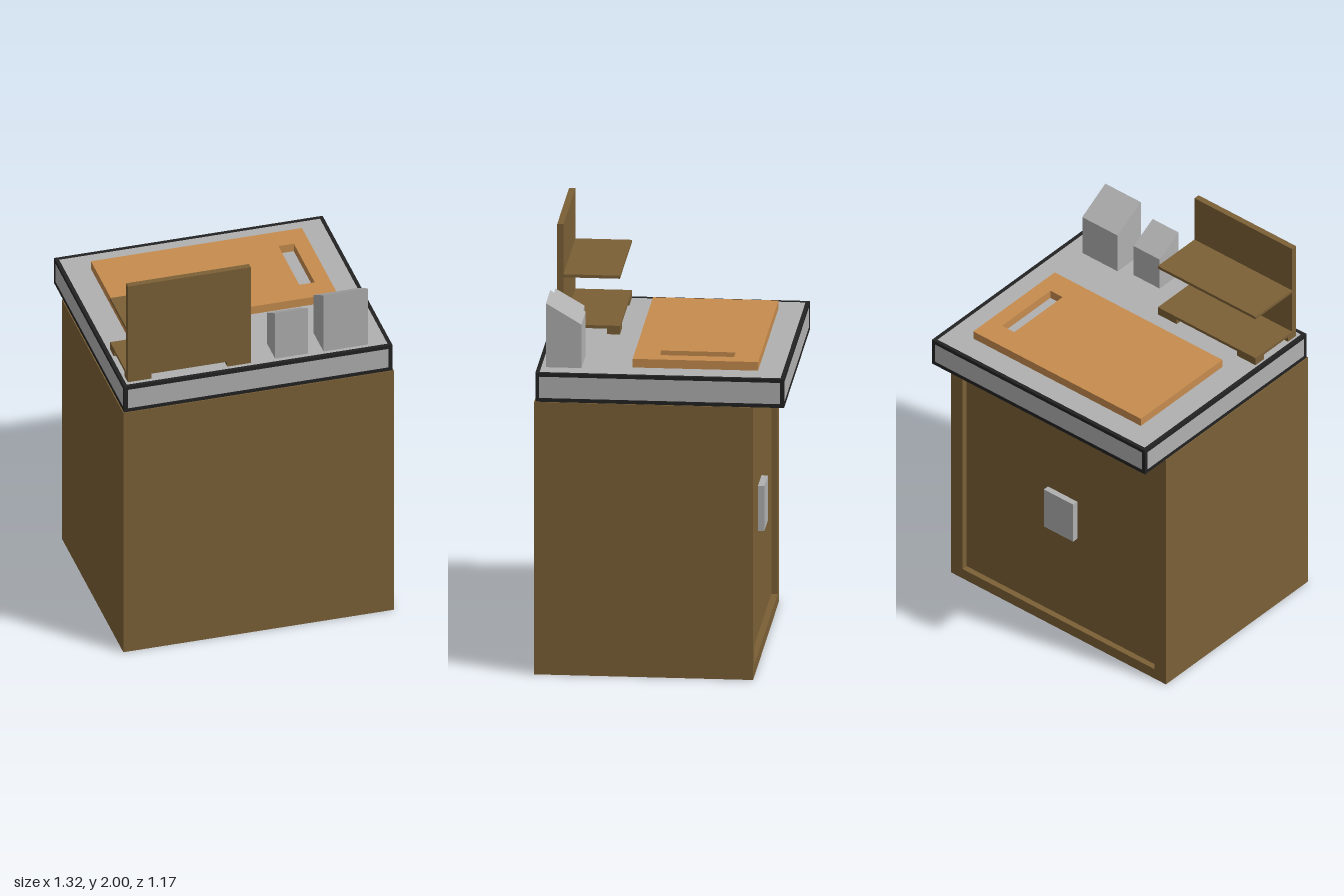
import * as THREE from 'three';

const material = (name, color) => {
  const m = new THREE.MeshStandardMaterial({ color });
  m.name = name;
  return m;
};

export function createModel() {
  const wood = material('brown wood', 0x7b6036);
  const board = material('light wood', 0xc68c4e);
  const grey = material('grey', 0xb0b0b0);
  const dark = material('dark trim', 0x222222);
  const group = new THREE.Group();
  group.name = 'kitchenCounter';

  const add = (name, geometry, mat) => {
    const mesh = new THREE.Mesh(geometry, mat);
    mesh.name = name;
    group.add(mesh);
    return mesh;
  };
  // Box given by its limits on each axis
  const box = (name, mat, [x0, x1], [y0, y1], [z0, z1]) => {
    const mesh = add(name, new THREE.BoxGeometry(x1 - x0, y1 - y0, z1 - z0), mat);
    mesh.position.set((x0 + x1) / 2, (y0 + y1) / 2, (z0 + z1) / 2);
    return mesh;
  };
  // Closed outline from corner points
  const outline = (points, Type = THREE.Shape) =>
    new Type(points.map(([x, y]) => new THREE.Vector2(x, y)));
  const rect = (x0, x1, y0, y1, Type) =>
    outline([[x0, y0], [x1, y0], [x1, y1], [x0, y1]], Type);
  const extrude = (shape, depth) =>
    new THREE.ExtrudeGeometry(shape, { depth, bevelEnabled: false });

  // Cabinet with a framed, recessed door at the back
  box('cabinetBody', wood, [-0.66, 0.66], [0, 1.33], [-0.41, 0.59]);
  const frame = rect(-0.66, 0.66, 0, 1.33);
  frame.holes.push(rect(-0.59, 0.59, 0.055, 1.275, THREE.Path));
  add('doorFrame', extrude(frame, 0.03), wood).position.z = -0.44;
  box('doorHandle', grey, [-0.09, 0.09], [0.56, 0.78], [-0.44, -0.41]);

  // Worktop
  const X = 0.655, Z = 0.585, Y0 = 1.33, Y1 = 1.47, T = 0.018, gap = 0.002;
  box('worktop', grey, [-X + gap, X - gap], [Y0 + gap, Y1 - gap], [-Z + gap, Z - gap]);

  // Dark trim along all twelve edges of the worktop
  const ends = (lo, hi) => [[lo, lo + T], [hi - T, hi]];
  for (const y of ends(Y0, Y1)) {
    for (const z of ends(-Z, Z)) box('trimAcross', dark, [-X + T, X - T], y, z);
    for (const x of ends(-X, X)) box('trimSide', dark, x, y, [-Z + T, Z - T]);
  }
  for (const x of ends(-X, X))
    for (const z of ends(-Z, Z)) box('trimCorner', dark, x, [Y0, Y1], z);

  // Cutting board with a grip slot
  const plank = rect(-0.515, 0.515, -0.14, 0.45);
  plank.holes.push(rect(0.365, 0.44, -0.02, 0.33, THREE.Path));
  const cuttingBoard = add('cuttingBoard', extrude(plank, 0.042), board);
  cuttingBoard.rotation.x = -Math.PI / 2;
  cuttingBoard.position.y = 1.468;

  // Small rack: back panel, two shelves, four feet
  const rackX = [-0.625, -0.025];
  box('rackPanel', wood, rackX, [1.495, 2], [0.515, 0.545]);
  for (const y of [1.495, 1.74]) box('rackShelf', wood, rackX, [y, y + 0.015], [0.25, 0.515]);
  for (const x of [[-0.625, -0.51], [-0.14, -0.025]])
    for (const z of [[0.25, 0.31], [0.485, 0.545]]) box('rackFoot', wood, x, [1.468, 1.495], z);

  // Canisters with sloping tops, profile drawn in z and y
  const canister = (name, x0, x1, zBack, zFront, yBack, yFront) => {
    const side = outline([[-zFront, 1.468], [-zBack, 1.468], [-zBack, yBack], [-zFront, yFront]]);
    const mesh = add(name, extrude(side, x1 - x0), grey);
    mesh.rotation.y = Math.PI / 2;
    mesh.position.x = x0;
  };
  canister('smallCanister', 0.095, 0.255, 0.405, 0.542, 1.64, 1.72);
  canister('largeCanister', 0.33, 0.548, 0.378, 0.545, 1.68, 1.78);

  return group;
}
